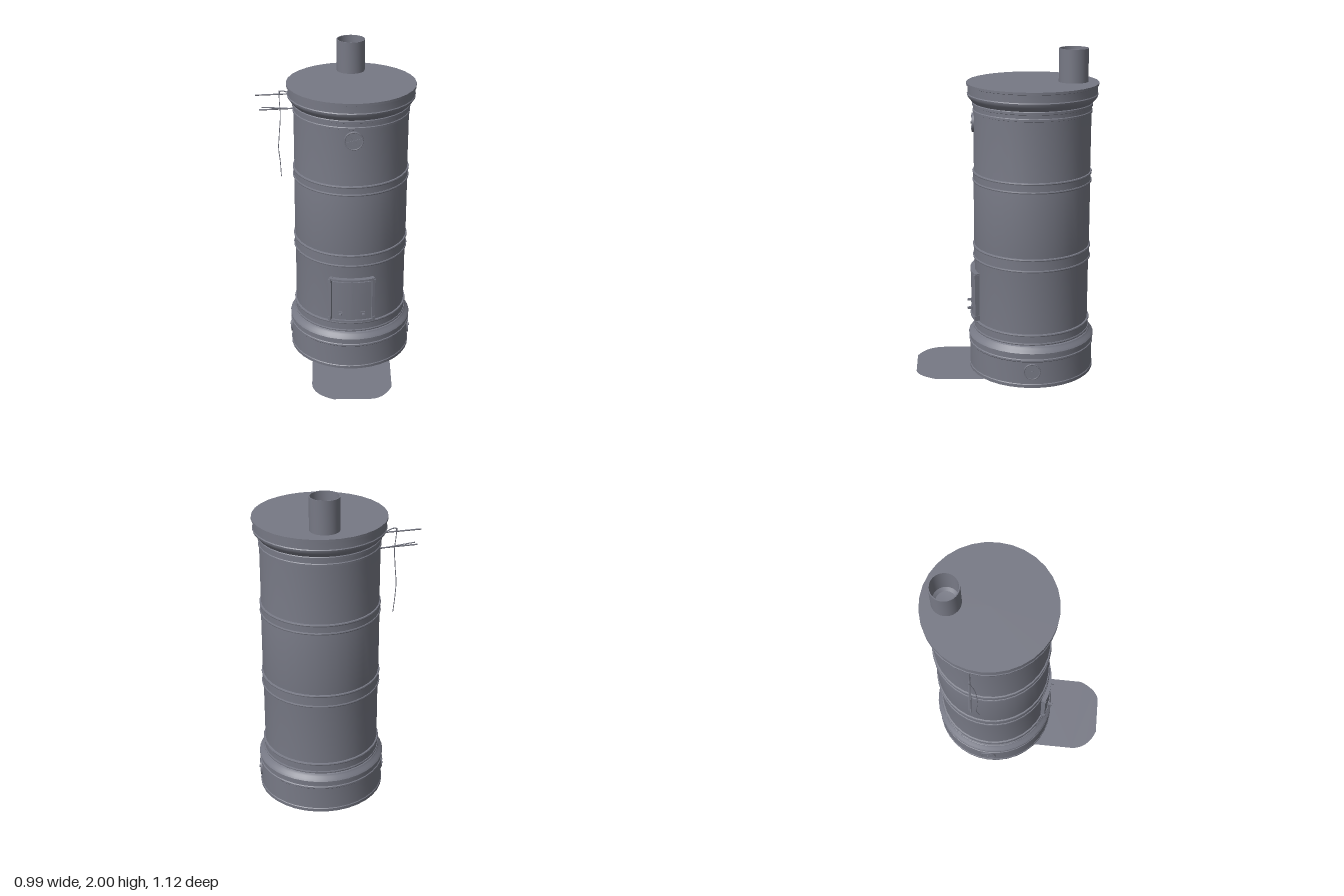
import * as THREE from 'three';
import { toCreasedNormals } from 'three/addons/utils/BufferGeometryUtils.js';

const iron = new THREE.MeshStandardMaterial({ color: 0x777985 });
const ironThin = iron.clone();
ironThin.side = THREE.DoubleSide;

const BODY_R = 0.353;

function add(parent, name, geometry, material = iron) {
  const mesh = new THREE.Mesh(geometry, material);
  mesh.name = name;
  parent.add(mesh);
  return mesh;
}

function lathe(points, segments) {
  const g = new THREE.LatheGeometry(points.map(([r, y]) => new THREE.Vector2(r, y)), segments);
  return toCreasedNormals(g, 0.5);
}

// Box wrapped around the stove wall; x is measured along the arc, z outwards.
function curvedBox(x, y, z, w, h, d) {
  const g = new THREE.BoxGeometry(w, h, d, Math.max(1, Math.ceil(w / 0.03)), 1, 1);
  g.translate(x, y, z);
  const p = g.attributes.position;
  for (let i = 0; i < p.count; i++) {
    const a = p.getX(i) / BODY_R, r = BODY_R + p.getZ(i);
    p.setXYZ(i, r * Math.sin(a), p.getY(i), r * Math.cos(a));
  }
  return toCreasedNormals(g, 0.5);
}

function wire(points, radius) {
  const curve = new THREE.CatmullRomCurve3(points.map(p => new THREE.Vector3(...p)));
  return new THREE.TubeGeometry(curve, points.length * 6, radius, 6);
}

// Round hatch facing +z with a raised rim and a spoked face
function roundHatch(name, radius, spokes) {
  const hatch = new THREE.Group();
  hatch.name = name;
  add(hatch, 'hatchDisc', new THREE.CylinderGeometry(radius, radius, 0.014, 24)).rotation.x = Math.PI / 2;
  add(hatch, 'hatchRim', new THREE.TorusGeometry(radius - 0.004, 0.004, 6, 24)).position.z = 0.006;
  for (let i = 0; i < spokes; i++) {
    const bar = add(hatch, 'hatchSpoke', new THREE.BoxGeometry(radius * 1.7, 0.008, 0.006));
    bar.position.z = 0.008;
    bar.rotation.z = i * Math.PI / spokes + 0.3;
  }
  const knob = add(hatch, 'hatchKnob', new THREE.CylinderGeometry(0.008, 0.008, 0.012, 10));
  knob.rotation.x = Math.PI / 2;
  knob.position.z = 0.01;
  return hatch;
}

export function createModel() {
  const model = new THREE.Group();
  model.name = 'cylindricalStove';
  const stove = new THREE.Group();
  stove.name = 'stove';
  stove.position.set(0.093, 0, -0.165);
  model.add(stove);

  // Base plinth with its moulded collar
  add(stove, 'basePlinth', lathe([
    [0, 0], [0.388, 0], [0.389, 0.02], [0.385, 0.024], [0.384, 0.165], [0.389, 0.17],
    [0.389, 0.18], [0.384, 0.184], [0.384, 0.21], [0.391, 0.213], [0.391, 0.222],
    [0.382, 0.235], [0.368, 0.245], [0.362, 0.255], [0.352, 0.26],
  ], 36));

  // Drum wall
  add(stove, 'drumWall', lathe([
    [0.352, 0.25], [0.352, 0.8], [0.355, 0.82], [0.355, 1.2], [0.353, 1.22], [0.354, 1.66],
  ], 36));

  // Riveting bands: pairs of thin hoops on a slightly raised strap
  for (const [low, high] of [[0.27, 0.325], [0.73, 0.8], [1.21, 1.262]]) {
    add(stove, 'strap', lathe([[0.35, low], [0.357, low], [0.357, high], [0.35, high]], 36));
    for (const y of [low, high]) {
      add(stove, 'hoop', lathe([
        [0.35, y - 0.008], [0.361, y - 0.006], [0.363, y], [0.361, y + 0.006], [0.35, y + 0.008],
      ], 36));
    }
  }

  // Cornice and flat top
  add(stove, 'cornice', lathe([
    [0.352, 1.625], [0.359, 1.628], [0.359, 1.64], [0.355, 1.644], [0.355, 1.665], [0.362, 1.668],
    [0.362, 1.682], [0.358, 1.686], [0.366, 1.695], [0.38, 1.71], [0.39, 1.725], [0.392, 1.735],
    [0.388, 1.74], [0.388, 1.785], [0.396, 1.788], [0.396, 1.802], [0, 1.802],
  ], 32));

  // Flue pipe, open at the top
  const flue = add(stove, 'fluePipe', lathe([
    [0.088, 1.795], [0.088, 2], [0.082, 2], [0.078, 1.83], [0.06, 1.812], [0, 1.806],
  ], 32));
  flue.position.set(-0.005, 0, -0.243);

  // Curved fire door with frame, two leaves and latches
  const door = new THREE.Group();
  door.name = 'fireDoor';
  door.rotation.y = 0.034;
  stove.add(door);
  add(door, 'doorPlate', curvedBox(0, 0.492, 0.004, 0.26, 0.29, 0.02));
  for (const s of [-1, 1]) {
    add(door, 'frameSide', curvedBox(s * 0.13, 0.492, 0.01, 0.016, 0.305, 0.034));
    add(door, 'frameRail', curvedBox(0, 0.492 + s * 0.145, 0.01, 0.274, 0.013, 0.034));
    add(door, 'doorLeaf', curvedBox(s * 0.06, 0.492, 0.012, 0.108, 0.262, 0.02));
    add(door, 'latchPlate', curvedBox(s * 0.066, 0.402, 0.025, 0.026, 0.026, 0.008));
    add(door, 'latchKnob', curvedBox(s * 0.066, 0.402, 0.036, 0.013, 0.013, 0.03));
    for (const y of [0.36, 0.625]) {
      add(door, 'hinge', curvedBox(s * 0.134, y, 0.014, 0.014, 0.025, 0.036));
    }
  }

  // Round draught hatches: one high on the front, one low on each side
  const front = roundHatch('frontHatch', 0.058, 3);
  front.position.set(0.018, 1.56, 0.354);
  stove.add(front);
  for (const s of [-1, 1]) {
    const side = roundHatch('sideHatch', 0.052, 0);
    side.position.set(s * 0.381, 0.105, 0);
    side.rotation.y = s * Math.PI / 2;
    stove.add(side);
  }

  // Damper rods, hook and pull wire on the right side
  add(model, 'upperRod', wire([[-0.495, 1.702, -0.2], [-0.38, 1.702, -0.217], [-0.25, 1.702, -0.235]], 0.0045));
  add(model, 'lowerRod', wire([[-0.475, 1.607, -0.2], [-0.36, 1.607, -0.217], [-0.24, 1.607, -0.237]], 0.0045));
  add(model, 'lowerStay', wire([[-0.46, 1.622, -0.203], [-0.36, 1.614, -0.219], [-0.25, 1.604, -0.235]], 0.0035));
  add(model, 'hook', wire([
    [-0.27, 1.69, -0.23], [-0.3, 1.713, -0.228], [-0.34, 1.722, -0.222], [-0.352, 1.7, -0.22],
  ], 0.0035));
  add(model, 'pullWire', wire([
    [-0.35, 1.725, -0.222], [-0.348, 1.66, -0.205], [-0.343, 1.58, -0.195], [-0.352, 1.45, -0.185],
    [-0.358, 1.36, -0.19], [-0.35, 1.26, -0.2], [-0.344, 1.17, -0.185],
  ], 0.0025));

  // Floor guard sheet in front of the door
  const outline = new THREE.Shape();
  outline.moveTo(-0.145, 0.13);
  outline.lineTo(-0.139, 0.4);
  outline.bezierCurveTo(-0.135, 0.48, -0.08, 0.535, 0, 0.562);
  outline.lineTo(0.24, 0.552);
  outline.bezierCurveTo(0.3, 0.54, 0.335, 0.48, 0.36, 0.42);
  outline.lineTo(0.355, 0.13);
  const sheet = new THREE.ShapeGeometry(outline, 8);
  sheet.rotateX(Math.PI / 2);
  add(model, 'floorSheet', sheet, ironThin).position.y = 0.002;

  return model;
}
